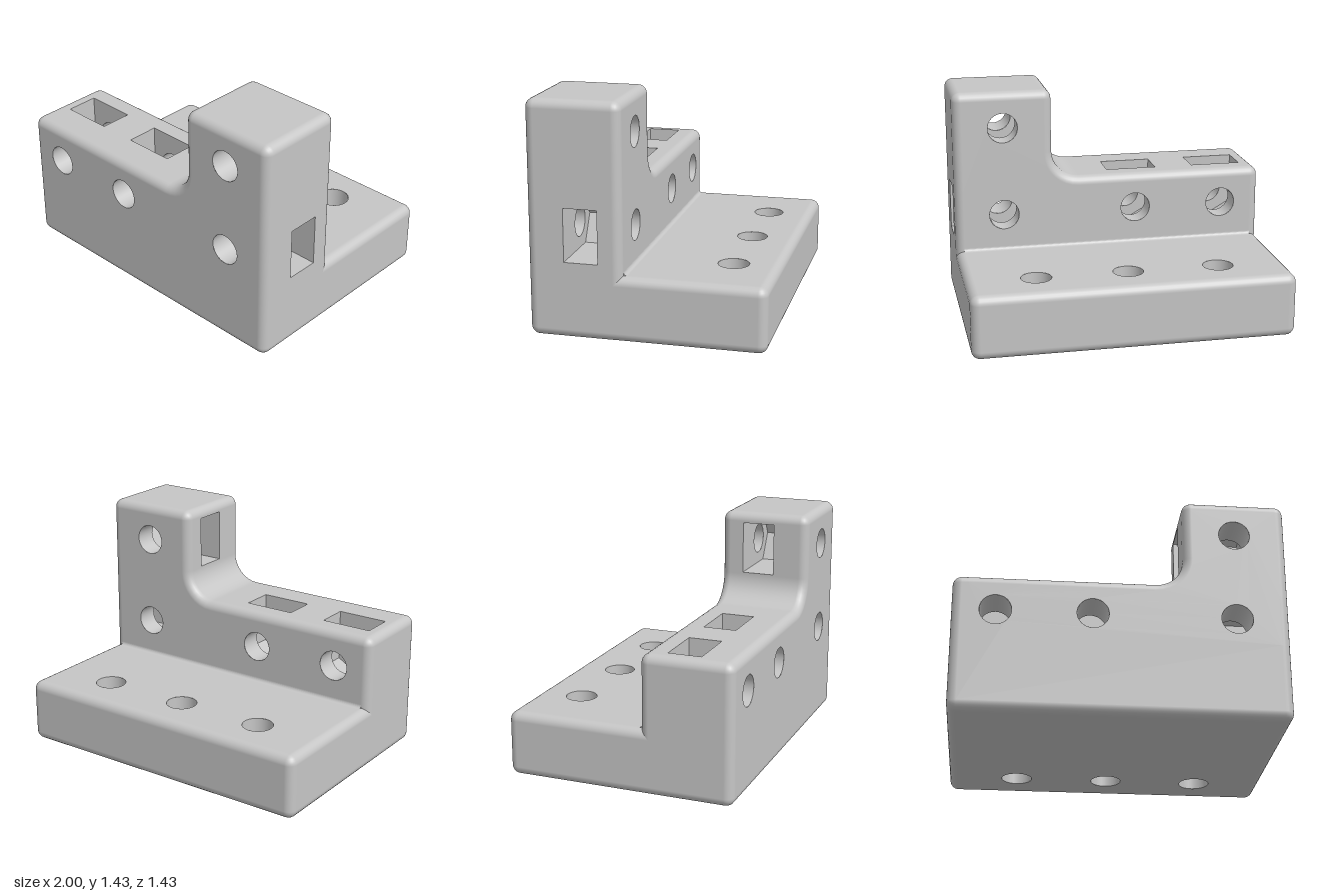
import * as THREE from 'three';

const R = 0.055;            // rounding of all outer edges
const HOLE = 0.095;         // bolt hole radius
const W = 0.163;            // half width of a nut slot
const SLOT = [0.285, 0.49]; // slot extent in z
const BACK = 0.143, FRONT = 0.714, BASE = 0.4, STEP = 0.857, TOP = 1.429, TOWER = 0.371;
const PI = Math.PI;

const metal = new THREE.MeshStandardMaterial({ color: 0xc6c6c6, side: THREE.DoubleSide });
metal.name = 'light grey';

function mesh(geometry, name, parent) {
  const m = new THREE.Mesh(geometry, metal);
  m.name = name;
  parent.add(m);
  return m;
}

// Outline points carry their outward normal; sign -1 makes an inner fillet
function arc(cx, cy, r, a0, a1, sign = 1) {
  const n = 8;
  return Array.from({ length: n + 1 }, (_, i) => {
    const a = a0 + (a1 - a0) * i / n, c = Math.cos(a), s = Math.sin(a);
    return { x: cx + r * c, y: cy + r * s, nx: sign * c, ny: sign * s };
  });
}

// Pair of outline points with a slot opening between them
function opening(x0, y0, x1, y1, nx, ny) {
  return [{ x: x0, y: y0, nx, ny, open: true }, { x: x1, y: y1, nx, ny }];
}

function circle(x, y) {
  return new THREE.Path().absarc(x, y, HOLE, 0, PI * 2, true);
}

// Outline lofted along z with rounded rims, leaving the slot openings free
function roundedShell(outline, z0, z1, slot) {
  const stations = [], n = 6;
  for (let k = 0; k <= n; k++) {
    const a = -PI / 2 + PI / 2 * k / n;
    stations.push({ z: z0 + R + R * Math.sin(a), a });
  }
  slot.forEach(z => stations.push({ z, a: 0 }));
  for (let k = 0; k <= n; k++) {
    const a = PI / 2 * k / n;
    stations.push({ z: z1 - R + R * Math.sin(a), a });
  }
  const pos = [], nor = [], idx = [], count = outline.length;
  for (const { z, a } of stations) {
    const inset = R * (1 - Math.cos(a));
    for (const p of outline) {
      pos.push(p.x - p.nx * inset, p.y - p.ny * inset, z);
      nor.push(p.nx * Math.cos(a), p.ny * Math.cos(a), Math.sin(a));
    }
  }
  for (let k = 0; k < stations.length - 1; k++) {
    for (let i = 0; i < count; i++) {
      if (outline[i].open && stations[k].z === slot[0]) continue;
      const j = (i + 1) % count, a = k * count, b = a + count;
      idx.push(a + i, a + j, b + j, a + i, b + j, b + i);
    }
  }
  const g = new THREE.BufferGeometry();
  g.setAttribute('position', new THREE.Float32BufferAttribute(pos, 3));
  g.setAttribute('normal', new THREE.Float32BufferAttribute(nor, 3));
  g.setIndex(idx);
  return g;
}

// Shell, two pierced faces and the hole linings
function block(name, outline, z0, z1, slot, holes) {
  const group = new THREE.Group();
  group.name = name;
  mesh(roundedShell(outline, z0, z1, slot), name + 'Shell', group);
  const pts = outline.map(p => new THREE.Vector2(p.x - p.nx * R, p.y - p.ny * R))
    .filter((p, i, all) => i === 0 || p.distanceTo(all[i - 1]) > 1e-6);
  const shape = new THREE.Shape(pts);
  shape.holes = holes.map(([x, y]) => circle(x, y));
  const face = new THREE.ShapeGeometry(shape, 32);
  for (const z of [z0, z1]) mesh(face, name + 'Face', group).position.z = z;

  const spans = slot.length ? [[z0, slot[0]], [slot[1], z1]] : [[z0, z1]];
  for (const [x, y] of holes) {
    for (const [a, b] of spans) {
      const lining = new THREE.CylinderGeometry(HOLE, HOLE, b - a, 32, 1, true).rotateX(PI / 2);
      mesh(lining, 'boltHole', group).position.set(x, y, (a + b) / 2);
    }
  }
  return group;
}

// Nut slot with a pointed floor, opening along local +y at the given depth
function nutSlot(x, y, angle, depth, parent) {
  const group = new THREE.Group();
  group.name = 'nutSlot';
  const s = W / Math.sqrt(3);
  const path = [[-W, depth], [-W, -s], [0, -2 * s], [W, -s], [W, depth]];
  const [za, zb] = SLOT, pos = [];
  for (let i = 0; i < path.length - 1; i++) {
    const [ax, ay] = path[i], [bx, by] = path[i + 1];
    pos.push(ax, ay, za, ax, ay, zb, bx, by, zb, ax, ay, za, bx, by, zb, bx, by, za);
  }
  const walls = new THREE.BufferGeometry();
  walls.setAttribute('position', new THREE.Float32BufferAttribute(pos, 3));
  walls.computeVertexNormals();
  mesh(walls, 'slotWalls', group);
  const shape = new THREE.Shape(path.map(([px, py]) => new THREE.Vector2(px, py)));
  shape.holes = [circle(0, 0)];
  const side = new THREE.ShapeGeometry(shape, 32);
  for (const z of SLOT) mesh(side, 'slotSide', group).position.z = z;
  group.position.set(x, y, 0);
  group.rotation.z = angle;
  parent.add(group);
}

export function createModel() {
  const model = new THREE.Group();
  model.name = 'mountingBracket';
  const holeY = 0.633, highY = 1.2, towerX = 0.686, stepX = [-0.171, -0.743];

  // Stepped upright plate
  const fillet = 0.171;
  const upright = block('upright', [
    ...arc(-1 + R, R, R, PI, 1.5 * PI),
    ...arc(1 - R, R, R, 1.5 * PI, 2 * PI),
    ...opening(1, holeY - W, 1, holeY + W, 1, 0),
    ...arc(1 - R, TOP - R, R, 0, PI / 2),
    ...arc(TOWER + R, TOP - R, R, PI / 2, PI),
    ...opening(TOWER, highY + W, TOWER, highY - W, -1, 0),
    ...arc(TOWER - fillet, STEP + fillet, fillet, 0, -PI / 2, -1),
    ...stepX.flatMap(x => opening(x + W, STEP, x - W, STEP, 0, 1)),
    ...arc(-1 + R, STEP - R, R, PI / 2, PI),
  ], BACK, FRONT, SLOT, [...stepX.map(x => [x, holeY]), [towerX, holeY], [towerX, highY]]);
  model.add(upright);

  // Nut slots: two from the step, one from each side of the tower
  stepX.forEach(x => nutSlot(x, holeY, 0, STEP - holeY, upright));
  nutSlot(towerX, holeY, -PI / 2, 1 - towerX, upright);
  nutSlot(towerX, highY, PI / 2, towerX - TOWER, upright);

  // Base plate, drawn flat and laid down; its front end sits inside the upright
  const base = block('base', [
    ...arc(-1 + R, -0.3 + R, R, PI, 1.5 * PI),
    ...arc(1 - R, -0.3 + R, R, 1.5 * PI, 2 * PI),
    ...arc(1 - R, FRONT - R, R, 0, PI / 2),
    ...arc(-1 + R, FRONT - R, R, PI / 2, PI),
  ], 0, BASE, [], [-0.571, 0, 0.571].map(x => [x, 0.43]));
  base.rotation.x = -PI / 2;
  model.add(base);

  // Small cove where the base meets the upright
  const c = 0.022;
  const cove = new THREE.Shape();
  cove.moveTo(0, 0);
  cove.lineTo(c, 0);
  cove.absarc(c, c, c, 1.5 * PI, PI, true);
  cove.lineTo(0, 0);
  const strip = new THREE.ExtrudeGeometry(cove, { depth: 1.9, bevelEnabled: false, curveSegments: 6 });
  strip.rotateY(PI / 2).translate(-0.95, BASE, BACK);
  mesh(strip, 'innerCove', model);

  return model;
}
